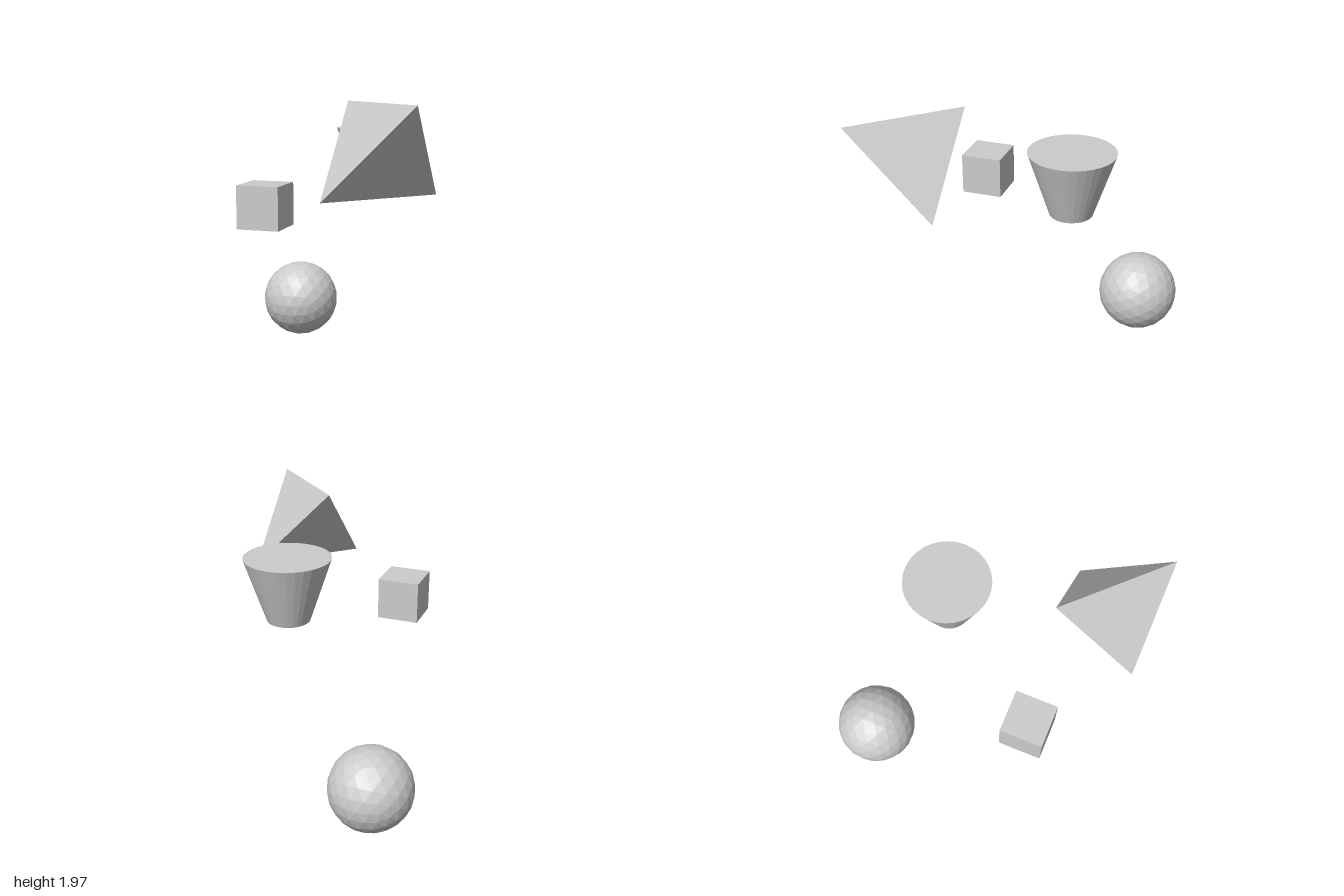
import * as THREE from 'three';

export function createModel() {
  const group = new THREE.Group();
  const material = new THREE.MeshStandardMaterial({ color: 0xcccccc, flatShading: true });

  const add = (name, geometry, x, y, z) => {
    const mesh = new THREE.Mesh(geometry, material);
    mesh.name = name;
    mesh.position.set(x, y, z);
    group.add(mesh);
  };

  // Faceted ball, with its front edge lying level
  add('sphere', new THREE.IcosahedronGeometry(0.3, 3).rotateX(Math.PI / 2), -0.52, 0.3, -0.7);

  // Tapered cup, closed at both ends, wide end up
  add('frustum', new THREE.CylinderGeometry(0.3, 0.15, 0.45, 32), 0.215, 1.515, -0.355);

  // Small cube
  add('cube', new THREE.BoxGeometry(0.3, 0.3, 0.3), -0.355, 1.25, 0.47);

  // Tetrahedron inscribed in a cube of side 0.6
  add('tetrahedron', new THREE.TetrahedronGeometry(0.3 * Math.sqrt(3)), 0.515, 1.665, 0.7);

  return group;
}
